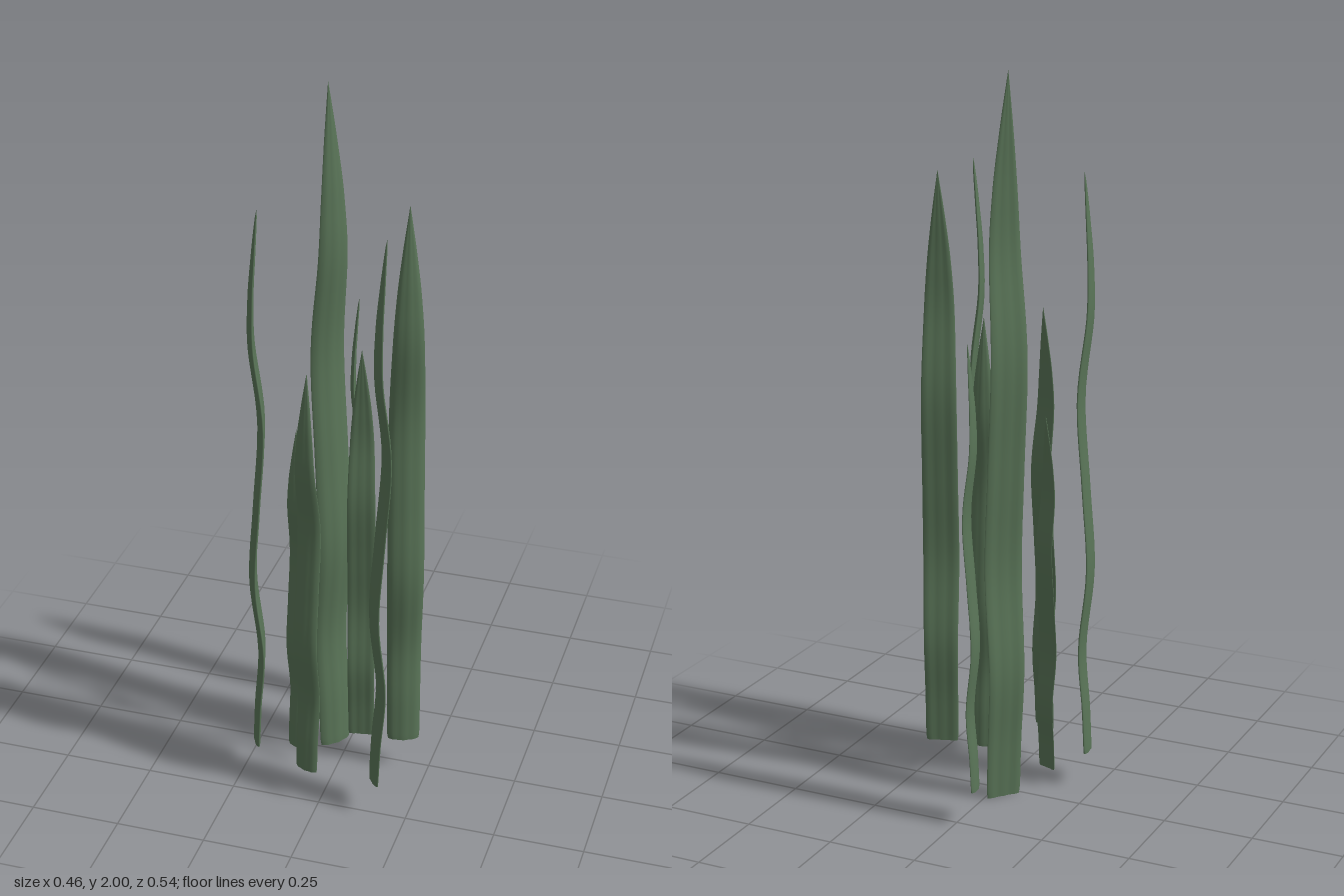
import * as THREE from 'three';

const material = new THREE.MeshStandardMaterial({ color: 0x5a7558 });

// Blade profile from root to tip: height fraction, sideways bend, width fraction
const profile = new THREE.CatmullRomCurve3([
  [0, -0.011, 0.86], [0.015, -0.01, 0.91], [0.08, -0.005, 0.92], [0.185, 0.007, 0.95],
  [0.33, -0.013, 1], [0.47, 0.001, 0.98], [0.62, 0.017, 0.96], [0.76, -0.005, 0.83],
  [0.84, -0.005, 0.66], [0.92, 0.003, 0.37], [1, 0.013, 0],
].map(p => new THREE.Vector3(...p)));

const LEVELS = 60, SIDES = 28;

// Wavy, lightly ribbed blade: width along x, bending along -z
function bladeGeometry(length, width) {
  const scale = length / 1.62, positions = [], indices = [];
  const addRing = k => {
    const { x: t, y: bend, z: wide } = profile.getPoint(k / LEVELS);
    for (let i = 0; i < SIDES; i++) {
      const angle = (i / SIDES) * Math.PI * 2;
      const c = Math.cos(angle), s = Math.sin(angle);
      const across = c * width * 0.5 * wide;
      // lens section with shallow ribs, edges curling slightly to one side
      const thick = 0.085 * width * Math.sqrt(Math.max(wide, 0)) * (1 + 0.15 * Math.cos(c * 9));
      const out = s * thick + 0.07 * width * wide * (c * c - 0.5) + bend * scale;
      positions.push(across, t * length, -out);
    }
  };
  for (let k = 0; k <= LEVELS; k++) addRing(k);
  for (let k = 0; k < LEVELS; k++) {
    for (let i = 0; i < SIDES; i++) {
      const a = k * SIDES + i, b = k * SIDES + (i + 1) % SIDES;
      indices.push(a, b, b + SIDES, a, b + SIDES, a + SIDES);
    }
  }
  // flat cap at the root
  const first = positions.length / 3;
  addRing(0);
  positions.push(0, 0, 0.011 * scale);
  for (let i = 0; i < SIDES; i++) indices.push(first + SIDES, first + (i + 1) % SIDES, first + i);

  const geometry = new THREE.BufferGeometry();
  geometry.setAttribute('position', new THREE.Float32BufferAttribute(positions, 3));
  geometry.setIndex(indices);
  geometry.computeVertexNormals();
  return geometry;
}

// x, z, root height, tip height, width, heading in degrees
const blades = [
  { name: 'tallBlade', x: -0.048, z: -0.049, root: 0, tip: 2, width: 0.11, turn: -50 },
  { name: 'backBlade', x: -0.038, z: -0.232, root: 0.1, tip: 1.325, width: 0.077, turn: 78 },
  { name: 'leftInnerBlade', x: 0.062, z: 0.045, root: 0.1, tip: 1.325, width: 0.079, turn: 170 },
  { name: 'leftOuterBlade', x: 0.177, z: 0.015, root: 0.1, tip: 1.72, width: 0.1, turn: -19 },
  { name: 'rightInnerBlade', x: -0.115, z: 0.075, root: 0.05, tip: 1.07, width: 0.064, turn: 20 },
  { name: 'rightOuterBlade', x: -0.2, z: 0.14, root: 0.1, tip: 1.72, width: 0.1, turn: 73 },
  { name: 'frontBlade', x: -0.036, z: 0.232, root: 0.1, tip: 1.325, width: 0.079, turn: 20 },
  { name: 'frontLeftBlade', x: 0.162, z: 0.222, root: 0.1, tip: 1.72, width: 0.1, turn: 64 },
];

export function createModel() {
  const group = new THREE.Group();
  group.name = 'grassClump';
  for (const { name, x, z, root, tip, width, turn } of blades) {
    const blade = new THREE.Mesh(bladeGeometry(tip - root, width), material);
    blade.name = name;
    blade.position.set(x, root, z);
    blade.rotation.y = -THREE.MathUtils.degToRad(turn);
    group.add(blade);
  }
  return group;
}
